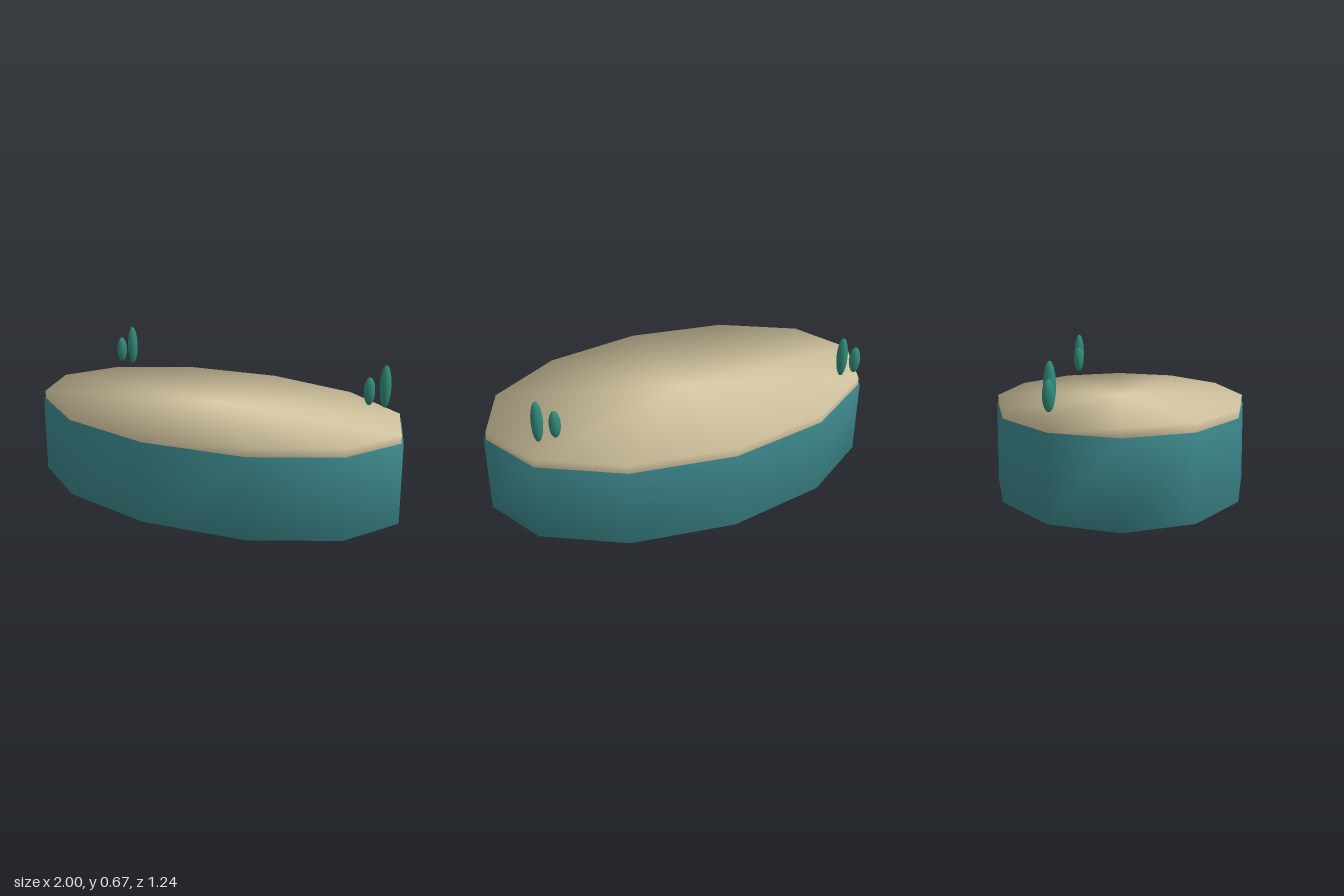
import * as THREE from 'three';

const material = (name, color) => {
  const m = new THREE.MeshStandardMaterial({ color });
  m.name = name;
  return m;
};

// Twelve-sided oval slab whose shading rolls softly from the rim to the caps
function ovalSlab(radiusX, radiusZ, bottom, top, tilt) {
  const g = new THREE.CylinderGeometry(1, 1, top - bottom, 12, 1);
  const { position, normal } = g.attributes;
  const n = new THREE.Vector3();
  for (let i = 0; i < position.count; i++) {
    n.fromBufferAttribute(position, i);
    const up = Math.sign(n.y);
    if (Math.hypot(n.x, n.z) < 0.01) n.set(0, up, 0);
    else n.set(n.x, up * tilt, n.z).normalize();
    normal.setXYZ(i, n.x, n.y, n.z);
  }
  g.scale(radiusX, 1, radiusZ);
  g.translate(0, (top + bottom) / 2, 0);
  return g;
}

export function createModel() {
  const model = new THREE.Group();
  model.name = 'island';
  const teal = material('deep teal', 0x3a8488);
  const sand = material('sand', 0xdacca6);
  const green = material('leaf green', 0x318a78);

  const add = (name, geometry, mat, parent = model) => {
    const mesh = new THREE.Mesh(geometry, mat);
    mesh.name = name;
    parent.add(mesh);
    return mesh;
  };

  // Base and the thin sandy top set just inside its rim
  add('base', ovalSlab(1, 0.618, 0, 0.385, 0.35), teal);
  add('sandTop', ovalSlab(0.989, 0.612, 0.38, 0.425, 0.35), sand);

  // Two pairs of hovering leaf pods, one short and one tall in each
  const pods = [
    { name: 'rightPods', z: -0.3, short: -0.823, tall: -0.745 },
    { name: 'leftPods', z: -0.235, short: 0.725, tall: 0.805 },
  ];
  for (const { name, z, short, tall } of pods) {
    const pair = new THREE.Group();
    pair.name = name;
    model.add(pair);
    for (const [podName, x, height] of [['shortPod', short, 0.137], ['tallPod', tall, 0.206]]) {
      const pod = add(podName, new THREE.SphereGeometry(1, 20, 14), green, pair);
      pod.scale.set(0.027, height / 2, 0.027);
      pod.position.set(x, 0.465 + height / 2, z);
    }
  }
  return model;
}
